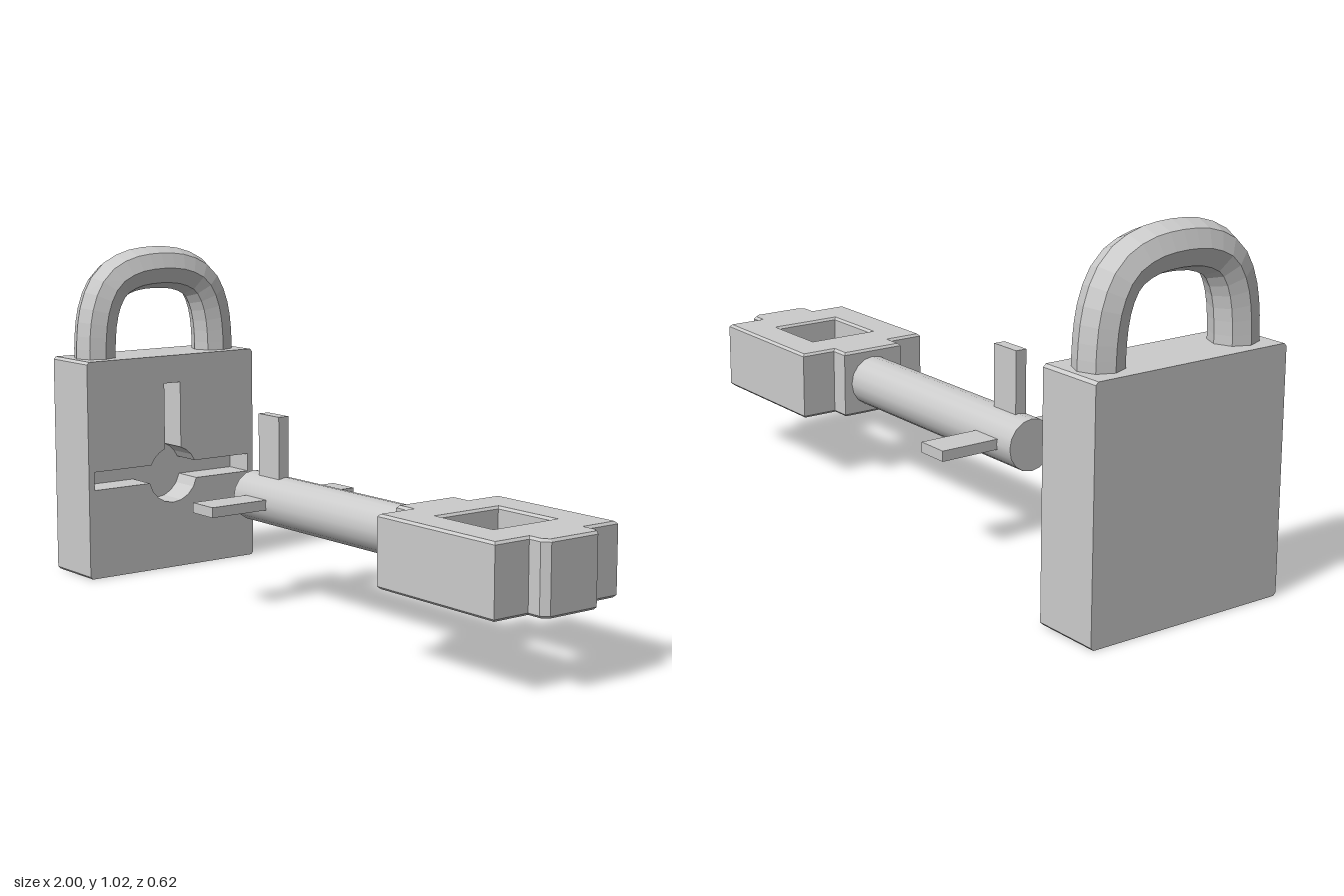
import * as THREE from 'three';

const material = new THREE.MeshStandardMaterial({ color: 0xcccccc });
const flatMaterial = new THREE.MeshStandardMaterial({ color: 0xcccccc, flatShading: true });

function mesh(name, geometry, mat = material) {
  const m = new THREE.Mesh(geometry, mat);
  m.name = name;
  return m;
}

function outline(points) {
  return points.map(([x, y]) => new THREE.Vector2(x, y));
}

function box(name, x0, x1, y0, y1, z0, z1) {
  const m = mesh(name, new THREE.BoxGeometry(x1 - x0, y1 - y0, z1 - z0));
  m.position.set((x0 + x1) / 2, (y0 + y1) / 2, (z0 + z1) / 2);
  return m;
}

// Lock face: rectangle with slightly cut corners, drawn in (-z, y)
function lockShape() {
  const w = 0.31, h = 0.68, c = 0.008;
  return new THREE.Shape(outline([
    [-w + c, 0], [w - c, 0], [w, c], [w, h - c],
    [w - c, h], [-w + c, h], [-w, h - c], [-w, c],
  ]));
}

// Keyhole: round centre with one upright and two sideways slots
function keyhole() {
  const cy = 0.3, r = 0.09, lo = 0.28, hi = 0.337, half = 0.03;
  const pts = [];
  const arc = (a0, a1, n) => {
    for (let i = 0; i <= n; i++) {
      const a = a0 + (a1 - a0) * i / n;
      pts.push([r * Math.cos(a), cy + r * Math.sin(a)]);
    }
  };
  const aLo = Math.asin((cy - lo) / r), aHi = Math.asin((hi - cy) / r), aUp = Math.acos(half / r);
  pts.push([0.29, lo], [0.29, hi]);
  arc(aHi, aUp, 3);
  pts.push([half, 0.593], [-half, 0.593]);
  arc(Math.PI - aUp, Math.PI - aHi, 3);
  pts.push([-0.29, hi], [-0.29, lo]);
  arc(Math.PI + aLo, 2 * Math.PI - aLo, 8);
  return new THREE.Path(outline(pts));
}

function createLock() {
  const lock = new THREE.Group();
  lock.name = 'padlock';

  // Solid rear half, then a front plate pierced by the keyhole
  const half = { depth: 0.1, bevelEnabled: false };
  const back = mesh('lockBodyBack', new THREE.ExtrudeGeometry(lockShape(), half).rotateY(Math.PI / 2));
  back.position.x = -1;
  const pierced = lockShape();
  pierced.holes.push(keyhole());
  const plate = mesh('lockBodyKeyholePlate', new THREE.ExtrudeGeometry(pierced, half).rotateY(Math.PI / 2));
  plate.position.x = -0.9;

  // Eight-sided bent bar, mirrored about its crown
  const side = [[0.22, 0.63], [0.22, 0.71], [0.213, 0.79], [0.195, 0.855], [0.16, 0.908], [0.105, 0.938], [0.045, 0.95]];
  const path = [
    ...side.map(([z, y]) => new THREE.Vector3(-0.9, y, z)),
    ...side.slice().reverse().map(([z, y]) => new THREE.Vector3(-0.9, y, -z)),
  ];
  const shackle = mesh('shackle',
    new THREE.TubeGeometry(new THREE.CatmullRomCurve3(path), 24, 0.066, 8), flatMaterial);

  lock.add(back, plate, shackle);
  return lock;
}

function createKey() {
  const key = new THREE.Group();
  key.name = 'key';

  // Round shaft along x
  const shaft = mesh('keyShaft', new THREE.CylinderGeometry(0.075, 0.075, 0.82, 16).rotateZ(Math.PI / 2));
  shaft.position.set(0.05, 0.3, 0);

  // One upright and two sideways bits
  key.add(
    shaft,
    box('upperBit', -0.3, -0.2, 0.32, 0.555, -0.01, 0.025),
    box('leftBit', -0.3, -0.2, 0.285, 0.315, 0.02, 0.262),
    box('rightBit', -0.3, -0.2, 0.285, 0.315, -0.255, -0.02),
  );

  // Stepped bow with a square opening, drawn in (x, z)
  const bow = new THREE.Shape(outline([
    [0.43, -0.1], [0.49, -0.1], [0.49, -0.208], [0.94, -0.208], [0.94, -0.095],
    [0.98, -0.095], [1, -0.075], [1, 0.085], [0.98, 0.103],
    [0.94, 0.103], [0.94, 0.217], [0.49, 0.217], [0.49, 0.103], [0.43, 0.103],
  ]));
  bow.holes.push(new THREE.Path(outline([[0.608, -0.1], [0.608, 0.11], [0.818, 0.11], [0.818, -0.1]])));
  const b = 0.007;
  const handle = mesh('keyBow', new THREE.ExtrudeGeometry(bow, {
    depth: 0.2 - 2 * b, bevelEnabled: true, bevelThickness: b, bevelSize: b, bevelOffset: -b, bevelSegments: 1,
  }).rotateX(Math.PI / 2));
  handle.position.y = 0.4 - b;
  key.add(handle);
  return key;
}

export function createModel() {
  const model = new THREE.Group();
  model.name = 'padlockAndKey';
  model.add(createLock(), createKey());
  return model;
}
